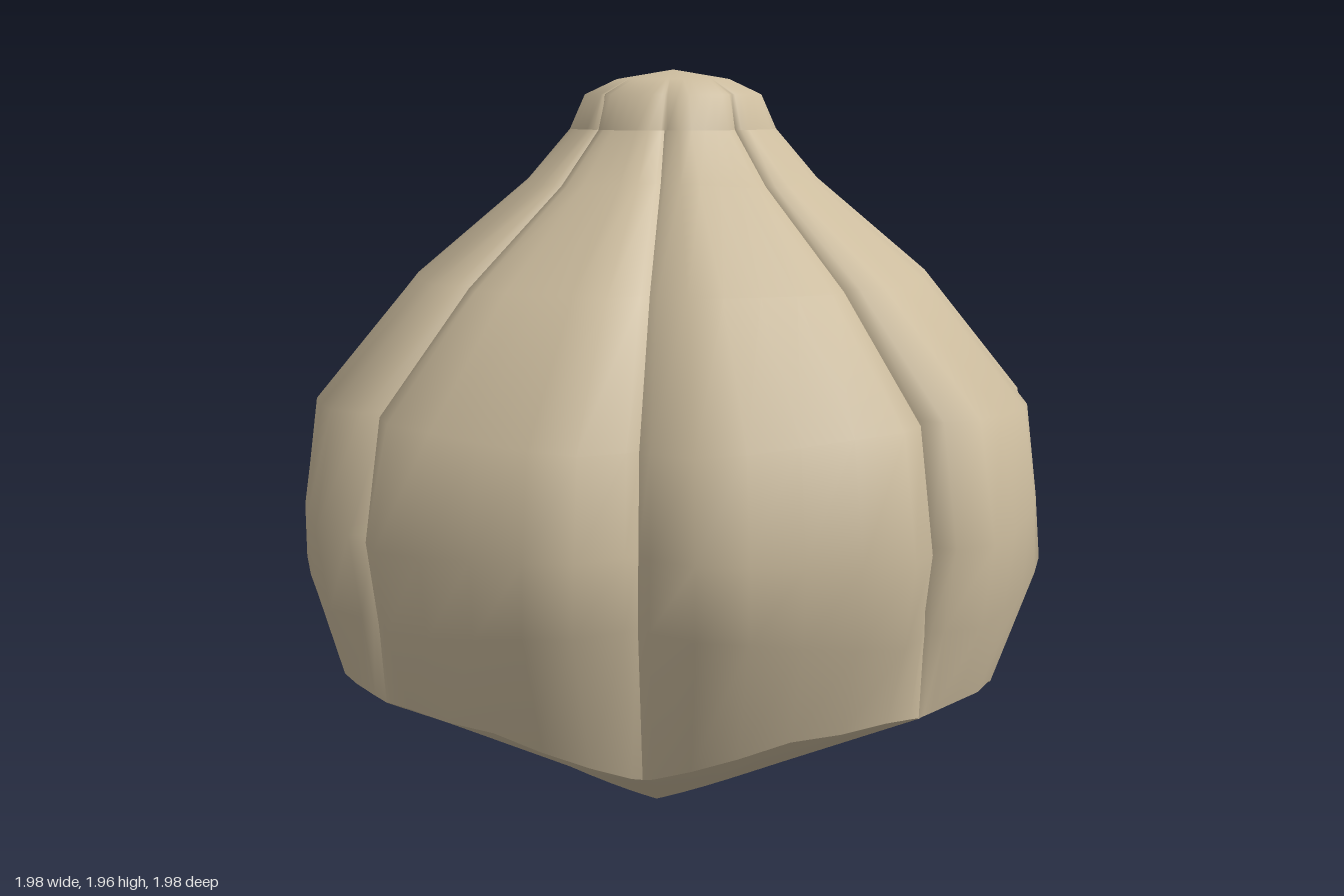
import * as THREE from 'three';
import { mergeVertices } from 'three/addons/utils/BufferGeometryUtils.js';

const deg = Math.PI / 180;
// Columns of one fold, from a straight groove (0 deg) to a diagonal groove (45 deg).
// angle, radius factor of the bulge, share of the groove depth
const COLS = [
  [0, 1, 1], [1.8, 1, 0.7], [8, 1.01, 0], [15, 1.015, 0], [22.5, 1.018, 0],
  [30, 1.03, 0], [37.4, 1.045, 0], [42.6, 1, 0], [44.3, 1, 0.6], [45, 1, 1],
];
// Rows: [y, radius, groove depth] at the straight and at the diagonal groove, bulge
const BODY = [
  [0.68, 0.99, 0.09, 0.62, 0.97, 0.03, 1],
  [0.85, 0.975, 0.09, 0.83, 1.0, 0.08, 1],
  [1.09, 0.945, 0.09, 1.13, 0.95, 0.09, 1],
  [1.42, 0.68, 0.09, 1.42, 0.68, 0.09, 1],
  [1.67, 0.385, 0.10, 1.66, 0.385, 0.10, 0.8],
  [1.80, 0.275, 0.10, 1.80, 0.26, 0.10, 0.4],
];
const CAP = [
  BODY[5],
  [1.89, 0.235, 0.03, 1.89, 0.235, 0.02, 0.2],
  [1.93, 0.15, 0, 1.93, 0.15, 0, 0],
  [1.955, 0, 0, 1.955, 0, 0, 0],
];
// Lower rim, one [y, radius] for each column
const RIM = [
  [0.28, 0.81], [0.285, 0.82], [0.32, 0.86], [0.36, 0.895], [0.4, 0.92],
  [0.41, 0.94], [0.42, 0.95], [0.41, 0.94], [0.405, 0.935], [0.4, 0.93],
];

// Cylinder coordinates [y, radius] of a row at column c
const lobeRow = ([y0, r0, d0, y1, r1, d1, bulge]) => COLS.map(([a, k, g]) => {
  const t = THREE.MathUtils.smoothstep(a, 5, 40);
  const depth = a < 22.5 ? d0 : d1;
  const r = r0 + (r1 - r0) * t;
  return [y0 + (y1 - y0) * t, r * (1 + (k - 1) * bulge - g * depth)];
});

// Underside: a shallow square pyramid with ridges below the straight grooves
const bottomRow = (y0, r0, y1, r1) => COLS.map(([a]) => {
  const t = Math.sin(2 * a * deg);
  return [y0 + (y1 - y0) * t, r0 + (r1 - r0) * t];
});

// Smooth surface through rows over a run of octants; every other octant is mirrored
function surface(rows, first, count) {
  const pos = [], index = [];
  const line = [];
  for (let o = first; o < first + count; o++) {
    for (let i = 0; i < COLS.length; i++) {
      if (i === 0 && o > first) continue;
      const c = o % 2 ? COLS.length - 1 - i : i;
      line.push([c, (o % 2 ? (o + 1) * 45 - COLS[c][0] : o * 45 + COLS[c][0]) * deg]);
    }
  }
  for (const row of rows) {
    for (const [c, a] of line) {
      const [y, r] = row[c];
      pos.push(r * Math.sin(a), y, r * Math.cos(a));
    }
  }
  const n = line.length;
  for (let j = 0; j < rows.length - 1; j++) {
    for (let i = 0; i < n - 1; i++) {
      const p = j * n + i;
      index.push(p, p + 1, p + n + 1, p, p + n + 1, p + n);
    }
  }
  let geo = new THREE.BufferGeometry();
  geo.setAttribute('position', new THREE.Float32BufferAttribute(pos, 3));
  geo.setIndex(index);
  geo = mergeVertices(geo, 1e-4);
  geo.computeVertexNormals();
  return geo;
}

export function createModel() {
  const model = new THREE.Group();
  model.name = 'dumpling';
  const dough = new THREE.MeshStandardMaterial({ color: 0xccbc9e });
  dough.name = 'dough';
  const add = (name, geo) => {
    const mesh = new THREE.Mesh(geo, dough);
    mesh.name = name;
    model.add(mesh);
  };

  // Eight folds, separate so that the grooves stay sharp
  const foldRows = [RIM, ...BODY.map(lobeRow)];
  for (let o = 0; o < 8; o++) add(`fold${o + 1}`, surface(foldRows, o, 1));

  // Pinched top
  add('pinchedTop', surface(CAP.map(lobeRow), 0, 8));

  // Underside in four quarters between the ridges
  const underRows = [bottomRow(0, 0, 0, 0), bottomRow(0.1, 0.48, 0.16, 0.47), RIM];
  for (let q = 0; q < 4; q++) add(`underside${q + 1}`, surface(underRows, q * 2, 2));

  return model;
}
